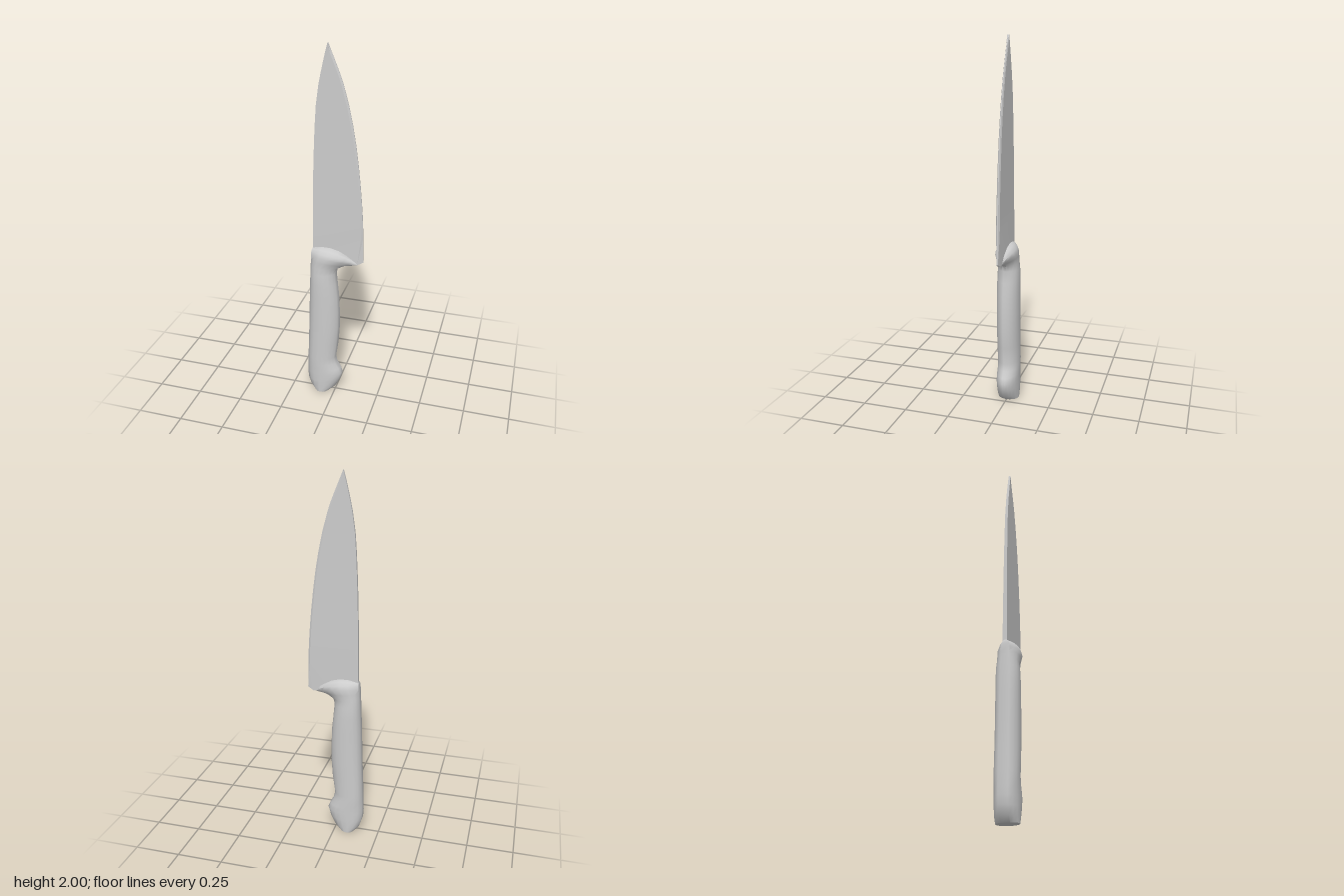
import * as THREE from 'three';
import { toCreasedNormals } from 'three/addons/utils/BufferGeometryUtils.js';

// Skin a stack of rings (each counter-clockwise seen from above), capped at both ends
function loft(rings, crease) {
  const n = rings[0].length;
  const pts = rings.flat();
  const index = [];
  for (let r = 0; r < rings.length - 1; r++) {
    for (let i = 0; i < n; i++) {
      const j = (i + 1) % n;
      const a = r * n + i, b = r * n + j, c = a + n, d = b + n;
      index.push(a, b, d, a, d, c);
    }
  }
  // caps: strips between the mirrored halves of the ring
  const top = (rings.length - 1) * n;
  for (let i = 0; i < n / 2 - 1; i++) {
    const a = i, b = i + 1, c = n - 2 - i, d = n - 1 - i;
    index.push(a, c, b, a, d, c);
    index.push(top + a, top + b, top + c, top + a, top + c, top + d);
  }
  const geo = new THREE.BufferGeometry();
  geo.setAttribute('position', new THREE.Float32BufferAttribute(pts.flatMap((p) => p.toArray()), 3));
  geo.setIndex(index);
  return toCreasedNormals(geo, crease);
}

// Close one side of a section by mirroring it across z = zMid
function mirrorRing(side, zMid = 0) {
  const back = side.slice().reverse().map((p) => new THREE.Vector3(p.x, p.y, -p.z));
  return [...side, ...back].map((p) => new THREE.Vector3(p.x, p.y, p.z + zMid));
}

// Handle sections: spine x, y; belly x, y; half thickness; arch; taper towards the heel
const HANDLE = [
  [-0.115, 0.0, -0.027, 0.0, 0.059, 0, 0],
  [-0.14, 0.03, 0.005, 0.03, 0.06, 0, 0],
  [-0.154, 0.075, 0.03, 0.08, 0.061, 0, 0],
  [-0.157, 0.12, 0.043, 0.125, 0.061, 0, 0],
  [-0.156, 0.16, 0.032, 0.155, 0.061, 0, 0],
  [-0.155, 0.19, 0.012, 0.19, 0.061, 0, 0],
  [-0.154, 0.23, 0.003, 0.23, 0.061, 0, 0],
  [-0.15, 0.33, 0.017, 0.33, 0.061, 0, 0],
  [-0.146, 0.43, 0.024, 0.43, 0.061, 0, 0],
  [-0.143, 0.53, 0.024, 0.53, 0.061, 0, 0],
  [-0.14, 0.63, 0.02, 0.63, 0.061, 0, 0],
  [-0.137, 0.71, 0.012, 0.71, 0.061, 0, 0],
  [-0.135, 0.77, 0.006, 0.775, 0.059, 0, 0.1],
  [-0.133, 0.815, 0.013, 0.805, 0.055, 0, 0.3],
  [-0.131, 0.85, 0.055, 0.828, 0.057, 0.005, 0.7],
  [-0.13, 0.875, 0.1, 0.836, 0.059, 0.015, 1],
  [-0.129, 0.895, 0.122, 0.84, 0.052, 0.024, 1],
  [-0.127, 0.908, 0.126, 0.843, 0.034, 0.032, 1],
  [-0.124, 0.915, 0.125, 0.846, 0.011, 0.037, 1],
];
const U = [0, 0.1, 0.22, 0.4, 0.58, 0.75, 0.88, 0.96, 1];
const GRIP = [0.4, 0.7, 0.93, 1, 0.98, 0.86, 0.62, 0.36, 0.12];
const BOLSTER = [0.4, 0.68, 0.92, 1, 0.92, 0.62, 0.35, 0.22, 0.14];

function handleRing([sx, sy, bx, by, half, arch, taper]) {
  return mirrorRing(U.map((u, i) => new THREE.Vector3(
    THREE.MathUtils.lerp(sx, bx, u),
    THREE.MathUtils.lerp(sy, by, u) + arch * Math.sin(Math.PI * u),
    half * THREE.MathUtils.lerp(GRIP[i], BOLSTER[i], taper),
  )));
}

// Blade sections: spine x, edge x, y
const BLADE = [
  [-0.123, 0.151, 1.0], [-0.121, 0.147, 1.1], [-0.12, 0.14, 1.2], [-0.118, 0.131, 1.3],
  [-0.115, 0.12, 1.4], [-0.111, 0.107, 1.5], [-0.106, 0.09, 1.6], [-0.099, 0.069, 1.7],
  [-0.085, 0.042, 1.8], [-0.075, 0.025, 1.85], [-0.064, 0.005, 1.9], [-0.051, -0.018, 1.955],
  [-0.039, -0.037, 2.0],
];

function bladeRing(spine, bevel, edge, half) {
  return mirrorRing([
    new THREE.Vector3(...spine, half),
    new THREE.Vector3(...bevel, half * 0.92),
    new THREE.Vector3(...edge, half * 0.3),
  ], -0.004);
}

export function createModel() {
  const group = new THREE.Group();
  group.name = 'kitchenKnife';
  const material = new THREE.MeshStandardMaterial({ color: 0xcccccc });

  const handle = new THREE.Mesh(loft(HANDLE.map(handleRing), 0.9), material);
  handle.name = 'handle';

  // The base row slants down to the heel; the rest rise to the tip
  const bladeRings = [bladeRing([-0.124, 0.89], [0.122, 0.84], [0.154, 0.857], 0.0115)];
  for (const [spine, edge, y] of BLADE) {
    const bevel = edge - Math.min(0.01, (edge - spine) * 0.3);
    const half = THREE.MathUtils.mapLinear(y, 0.9, 2, 0.0115, 0.006);
    bladeRings.push(bladeRing([spine, y], [bevel, y], [edge, y], half));
  }
  const blade = new THREE.Mesh(loft(bladeRings, 0.35), material);
  blade.name = 'blade';

  group.add(handle, blade);
  return group;
}
